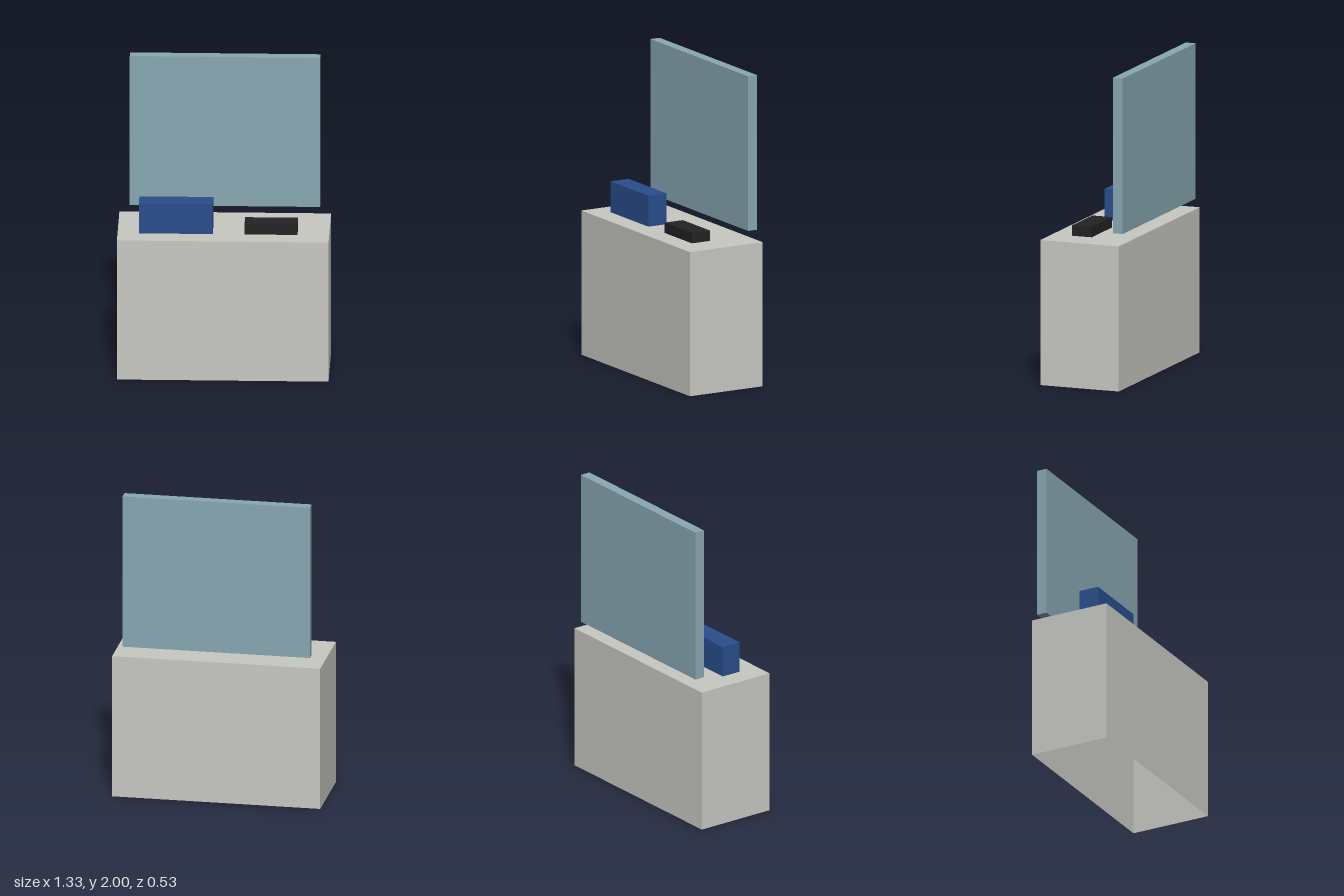
import * as THREE from 'three';

const material = (name, color, side = THREE.FrontSide) => {
  const m = new THREE.MeshStandardMaterial({ color, side });
  m.name = name;
  return m;
};

// Box given by its minimum and maximum corners
function block(name, mat, [x0, y0, z0], [x1, y1, z1]) {
  const mesh = new THREE.Mesh(new THREE.BoxGeometry(x1 - x0, y1 - y0, z1 - z0), mat);
  mesh.position.set((x0 + x1) / 2, (y0 + y1) / 2, (z0 + z1) / 2);
  mesh.name = name;
  return mesh;
}

export function createModel() {
  const group = new THREE.Group();
  group.name = 'cabinetWithPanel';

  const stone = material('warm grey', 0xc8c8c3, THREE.DoubleSide);
  const glass = material('dusty teal', 0x88a7b2);
  const blue = material('blue', 0x2a4d8c);
  const black = material('black', 0x222222);

  // Thin-walled cabinet, open underneath: drop the bottom face of the box
  const cabinet = block('cabinet', stone, [-0.667, 0, -0.267], [0.667, 0.933, 0.267]);
  const faces = Array.from(cabinet.geometry.index.array);
  faces.splice(18, 6);
  cabinet.geometry.setIndex(faces);
  cabinet.geometry.clearGroups();

  group.add(
    cabinet,
    // Upright panel floating just above the rear edge
    block('backPanel', glass, [-0.6, 1, -0.267], [0.6, 2, -0.2]),
    // Items on the counter
    block('blueBox', blue, [-0.533, 0.933, 0], [-0.067, 1.133, 0.133]),
    block('blackBox', black, [0.133, 0.933, 0], [0.467, 1, 0.133]),
  );
  return group;
}
